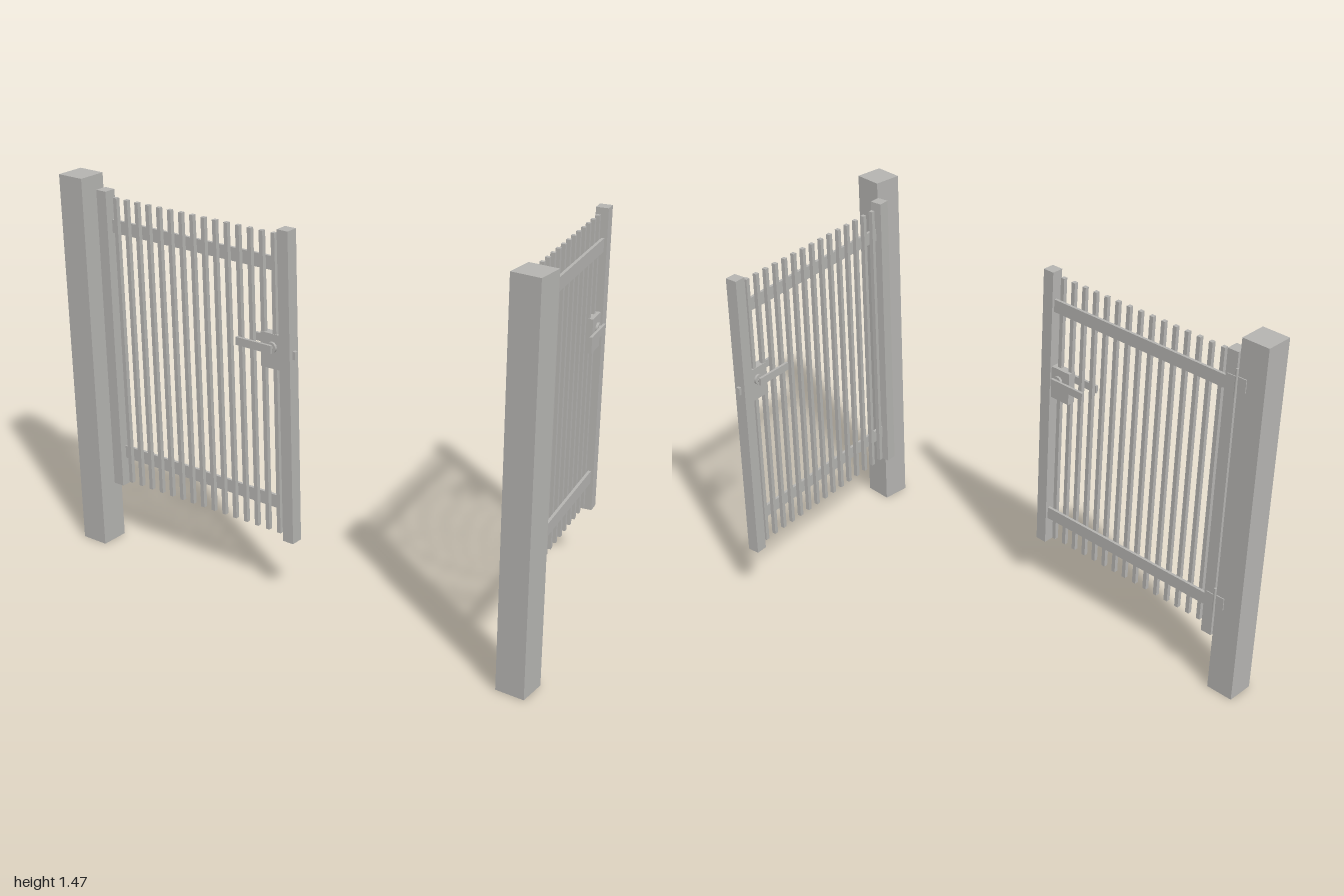
import * as THREE from 'three';

const steel = new THREE.MeshStandardMaterial({ color: 0xb4b3b0 });
steel.name = 'grey steel';

// Box given by its low and high limits on each axis
function box(parent, name, [x0, x1], [y0, y1], [z0, z1]) {
  const geo = new THREE.BoxGeometry(Math.abs(x1 - x0), y1 - y0, z1 - z0);
  const mesh = new THREE.Mesh(geo, steel);
  mesh.name = name;
  mesh.position.set((x0 + x1) / 2, (y0 + y1) / 2, (z0 + z1) / 2);
  parent.add(mesh);
}

// Gate leaf: origin on the hinge stile axis, growing along s * x
function createLeaf(name, s) {
  const leaf = new THREE.Group();
  leaf.name = name;
  const part = (n, x, y, z) => box(leaf, n, [x[0] * s, x[1] * s], y, z);
  const rod = (n, r, len, x, y, z, alongZ) => {
    const geo = new THREE.CylinderGeometry(r, r, len, 12);
    if (alongZ) geo.rotateX(Math.PI / 2);
    const mesh = new THREE.Mesh(geo, steel);
    mesh.name = n;
    mesh.position.set(x * s, y, z);
    leaf.add(mesh);
  };

  // Frame
  part('hingeStile', [-0.0225, 0.0225], [0.24, 1.415], [-0.0235, 0.0235]);
  part('latchStile', [0.807, 0.853], [0.24, 1.415], [-0.0235, 0.0235]);
  for (const y of [0.35, 1.255]) part('rail', [0.0225, 0.81], [y, y + 0.05], [-0.013, -0.002]);

  // Pickets
  for (let i = 0; i < 15; i++) {
    const x = 0.057 + i * 0.0517;
    part('picket', [x - 0.008, x + 0.008], [0.26, 1.395], [-0.002, 0.014]);
  }

  // Lock case, bolt and a lever on each face
  part('lockCase', [0.72, 0.81], [0.9, 1.03], [-0.016, 0.016]);
  part('bolt', [0.85, 0.864], [0.95, 0.98], [-0.007, 0.007]);
  rod('spindle', 0.009, 0.08, 0.772, 0.982, 0, true);
  rod('rosette', 0.02, 0.05, 0.772, 0.982, 0, true);
  for (const z of [-0.039, 0.039]) part('lever', [0.63, 0.785], [0.967, 0.997], [z - 0.005, z + 0.005]);

  // Hinge knuckles and their leaf-side plates
  for (const y of [0.4, 1.3]) {
    rod('hingeKnuckle', 0.005, 0.11, -0.0245, y, -0.024, false);
    part('hingeLeafPlate', [-0.0245, 0.012], [y - 0.025, y + 0.025], [-0.027, -0.023]);
  }
  return leaf;
}

export function createModel() {
  const gate = new THREE.Group();
  gate.name = 'doubleGate';

  // Posts with fixed hinge plates
  for (const s of [-1, 1]) {
    box(gate, 'post', [s * 0.89, s], [0, 1.47], [0.385, 0.495]);
    for (const y of [0.4, 1.3]) {
      box(gate, 'hingePostPlate', [s * 0.883, s * 0.926], [y - 0.025, y + 0.025], [0.381, 0.386]);
    }
  }

  // Closed leaf and open leaf
  const closed = createLeaf('closedLeaf', 1);
  closed.position.set(-0.8625, 0, 0.404);
  const open = createLeaf('openLeaf', -1);
  open.position.set(0.853, 0, 0.361);
  open.rotation.y = -THREE.MathUtils.degToRad(80);
  gate.add(closed, open);
  return gate;
}
